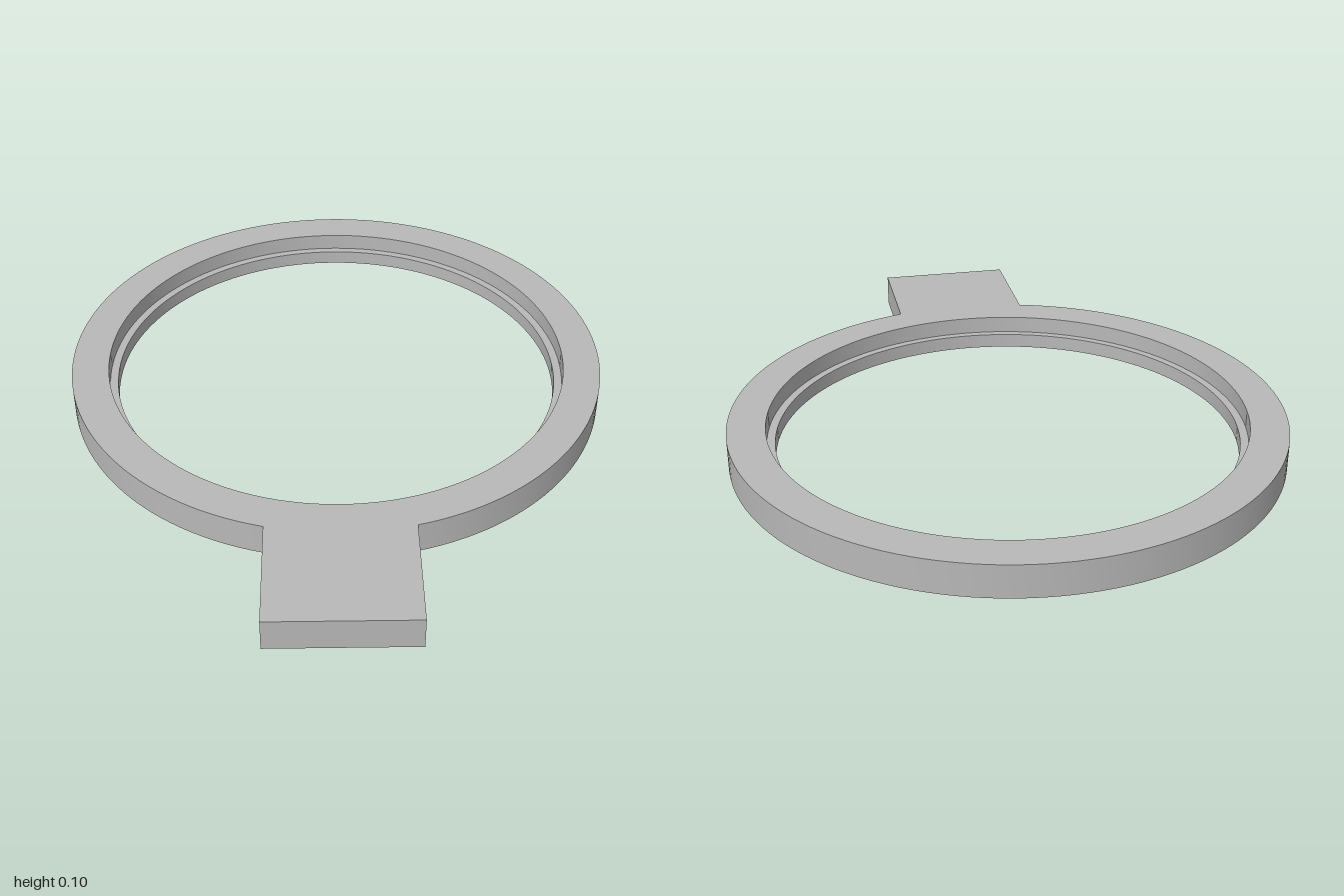
import * as THREE from 'three';
import { toCreasedNormals } from 'three/addons/utils/BufferGeometryUtils.js';

const CENTER = 0.163;      // ring centre, towards the back
const OUTER = 0.837;
const SEAT = 0.722;        // upper bore
const BORE = 0.697;        // lower bore, inside the lip
const TAB = 0.213;         // half width of the tab
const HEIGHT = 0.1;
const LIP_HEIGHT = 0.046;

// Cuts a round hole in a plan shape and raises it from the ground
function raise(shape, holeRadius, height) {
  shape.holes.push(new THREE.Path().absarc(0, CENTER, holeRadius, 0, Math.PI * 2, true));
  const geometry = new THREE.ExtrudeGeometry(shape, { depth: height, bevelEnabled: false, curveSegments: 64 });
  geometry.rotateX(-Math.PI / 2);
  return toCreasedNormals(geometry, Math.PI / 6);
}

export function createModel() {
  const group = new THREE.Group();
  group.name = 'ringWithTab';
  const grey = new THREE.MeshStandardMaterial({ color: 0xb8b8b8 });
  grey.name = 'grey';

  // Ring and tab share one outline
  const a = Math.asin(TAB / OUTER);
  const outline = new THREE.Shape();
  outline.moveTo(-TAB, -1);
  outline.lineTo(TAB, -1);
  outline.absarc(0, CENTER, OUTER, -Math.PI / 2 + a, Math.PI * 1.5 - a, false);
  outline.closePath();
  const body = new THREE.Mesh(raise(outline, SEAT, HEIGHT), grey);
  body.name = 'ringAndTab';

  // Low lip that forms the step inside the ring
  const lipOutline = new THREE.Shape().absarc(0, CENTER, SEAT, 0, Math.PI * 2, false);
  const lip = new THREE.Mesh(raise(lipOutline, BORE, LIP_HEIGHT), grey);
  lip.name = 'innerLip';

  group.add(body, lip);
  return group;
}
